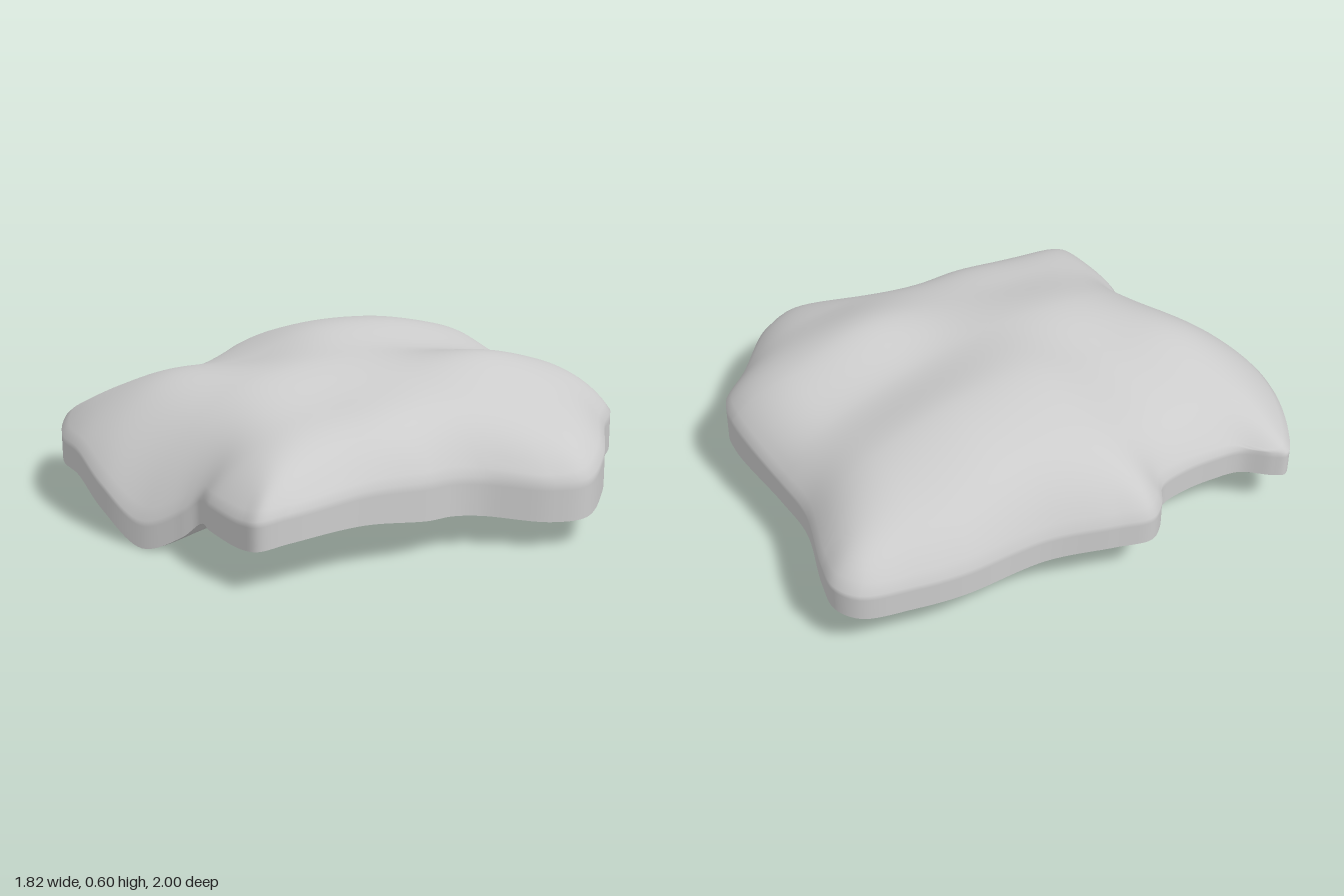
import * as THREE from 'three';

// Rim of the slab, clockwise from the back left corner: x, z, height of the lower edge
const RIM = [
  [-0.58, -1.0, 0.18], [-0.45, -0.975, 0.18], [-0.2, -0.89, 0.18], [0, -0.88, 0.18], [0.35, -0.88, 0.18],
  [0.48, -0.84, 0.17], [0.6, -0.7, 0.17], [0.82, -0.49, 0.15], [0.905, -0.34, 0.115], [0.86, -0.21, 0.11],
  [0.71, -0.02, 0.13], [0.675, 0.08, 0.14], [0.68, 0.2, 0.15], [0.65, 0.45, 0.18], [0.64, 0.75, 0.18],
  [0.61, 0.85, 0.165], [0.53, 0.87, 0.155], [0.33, 0.865, 0.155], [0.22, 0.835, 0.14], [0.14, 0.87, 0.07],
  [0, 0.95, 0.005], [-0.2, 0.995, 0.1], [-0.4, 0.98, 0.17], [-0.6, 0.94, 0.16], [-0.8, 0.83, 0.155],
  [-0.885, 0.75, 0.155], [-0.865, 0.7, 0.16], [-0.79, 0.61, 0.165], [-0.77, 0.5, 0.17], [-0.77, 0.35, 0.18],
  [-0.79, 0.24, 0.18], [-0.87, 0.17, 0.18], [-0.91, 0.1, 0.18], [-0.87, -0.03, 0.18], [-0.79, -0.27, 0.18],
  [-0.77, -0.6, 0.18], [-0.73, -0.78, 0.18], [-0.67, -0.95, 0.18],
];

// Broad relief of the top: rows run back to front, columns left to right in x
const RELIEF = [
  [0.42, 0.46, 0.47, 0.45, 0.47, 0.45, 0.38],
  [0.46, 0.5, 0.53, 0.48, 0.53, 0.48, 0.42],
  [0.5, 0.56, 0.595, 0.54, 0.59, 0.49, 0.43],
  [0.5, 0.56, 0.61, 0.585, 0.56, 0.52, 0.47],
  [0.46, 0.485, 0.54, 0.58, 0.53, 0.53, 0.49],
  [0.42, 0.5, 0.58, 0.56, 0.53, 0.52, 0.48],
  [0.38, 0.45, 0.49, 0.46, 0.47, 0.46, 0.44],
];

const { smoothstep, clamp, lerp } = THREE.MathUtils;

// Smooth cubic reading of a list of values at position u
function cubic(get, u) {
  const i = Math.min(Math.floor(u), 5), f = u - i;
  const [a, b, c, d] = [-1, 0, 1, 2].map((k) => get(clamp(i + k, 0, 6)));
  return b + 0.5 * f * (c - a + f * (2 * a - 5 * b + 4 * c - d + f * (3 * (b - c) + d - a)));
}

function relief(x, z) {
  const u = clamp((x + 0.9) / 0.3, 0, 6), v = clamp((z + 1) * 3, 0, 6);
  return cubic((row) => cubic((col) => RELIEF[row][col], u), v);
}

const wallHeight = (p) => 0.105 + 0.04 * smoothstep(p.x, 0, 0.4) * (1 - smoothstep(p.z, 0.1, 0.7));

// Height of the top: relief rounded off towards the nearby rim, using a softened rim distance
function topHeight(x, z, rim) {
  let near = 0, edge = 0, total = 0;
  rim.forEach((p, i) => {
    const q = rim[(i + 1) % rim.length];
    const d = Math.hypot(p.x - x, p.z - z);
    const w = Math.hypot(q.x - p.x, q.z - p.z) / d ** 3;
    near += w;
    total += w / d;
    edge += (w / d) * (p.y + wallHeight(p));
  });
  const distance = Math.sqrt(2 / near);
  const falloff = 0.11 + 0.05 * smoothstep(z, 0.2, 0.7);
  return lerp(relief(x, z), edge / total, Math.exp(-distance / falloff));
}

// Skin from a centre point out over closed rings of equal length
function skin(centre, rings, flip) {
  const n = rings[0].length, index = [];
  const face = (a, b, c) => index.push(...(flip ? [a, b, c] : [a, c, b]));
  for (let i = 0; i < n; i++) {
    const j = (i + 1) % n;
    face(0, 1 + i, 1 + j);
    for (let r = 0; r < rings.length - 1; r++) {
      const a = 1 + r * n + i, b = 1 + r * n + j;
      face(a, b + n, b);
      face(a, a + n, b + n);
    }
  }
  const geo = new THREE.BufferGeometry().setFromPoints([centre, ...rings.flat()]);
  geo.setIndex(index);
  geo.computeVertexNormals();
  return geo;
}

export function createModel() {
  const group = new THREE.Group();
  group.name = 'rockSlab';
  const material = new THREE.MeshStandardMaterial({ color: 0xcccccc, side: THREE.DoubleSide });
  const curve = new THREE.CatmullRomCurve3(RIM.map(([x, z, y]) => new THREE.Vector3(x, y, z)), true);
  const rim = curve.getPoints(380).slice(0, -1);
  const STEPS = 40;

  const top = [], bottom = [];
  for (let r = 2; r <= STEPS; r++) {
    const t = r / STEPS;
    // undulating top, rounded down to the upper edge of the wall
    top.push(rim.map((p) => {
      const x = p.x * t, z = p.z * t;
      const y = r === STEPS ? p.y + wallHeight(p) : topHeight(x, z, rim);
      return new THREE.Vector3(x, y, z);
    }));
    // flat underside curving to the lower edge
    bottom.push(rim.map((p) =>
      new THREE.Vector3(p.x * t, 0.088 + (p.y - 0.088) * smoothstep(t, 0.62, 1), p.z * t)));
  }
  // upright wall around the rim
  for (const f of [0.8, 0.5, 0.2, 0]) {
    top.push(rim.map((p) => new THREE.Vector3(p.x, p.y + wallHeight(p) * f, p.z)));
  }

  const topCentre = new THREE.Vector3(0, topHeight(0, 0, rim), 0);
  const upper = new THREE.Mesh(skin(topCentre, top, false), material);
  upper.name = 'topAndWall';
  const under = new THREE.Mesh(skin(new THREE.Vector3(0, 0.088, 0), bottom, true), material);
  under.name = 'underside';
  group.add(upper, under);
  return group;
}
